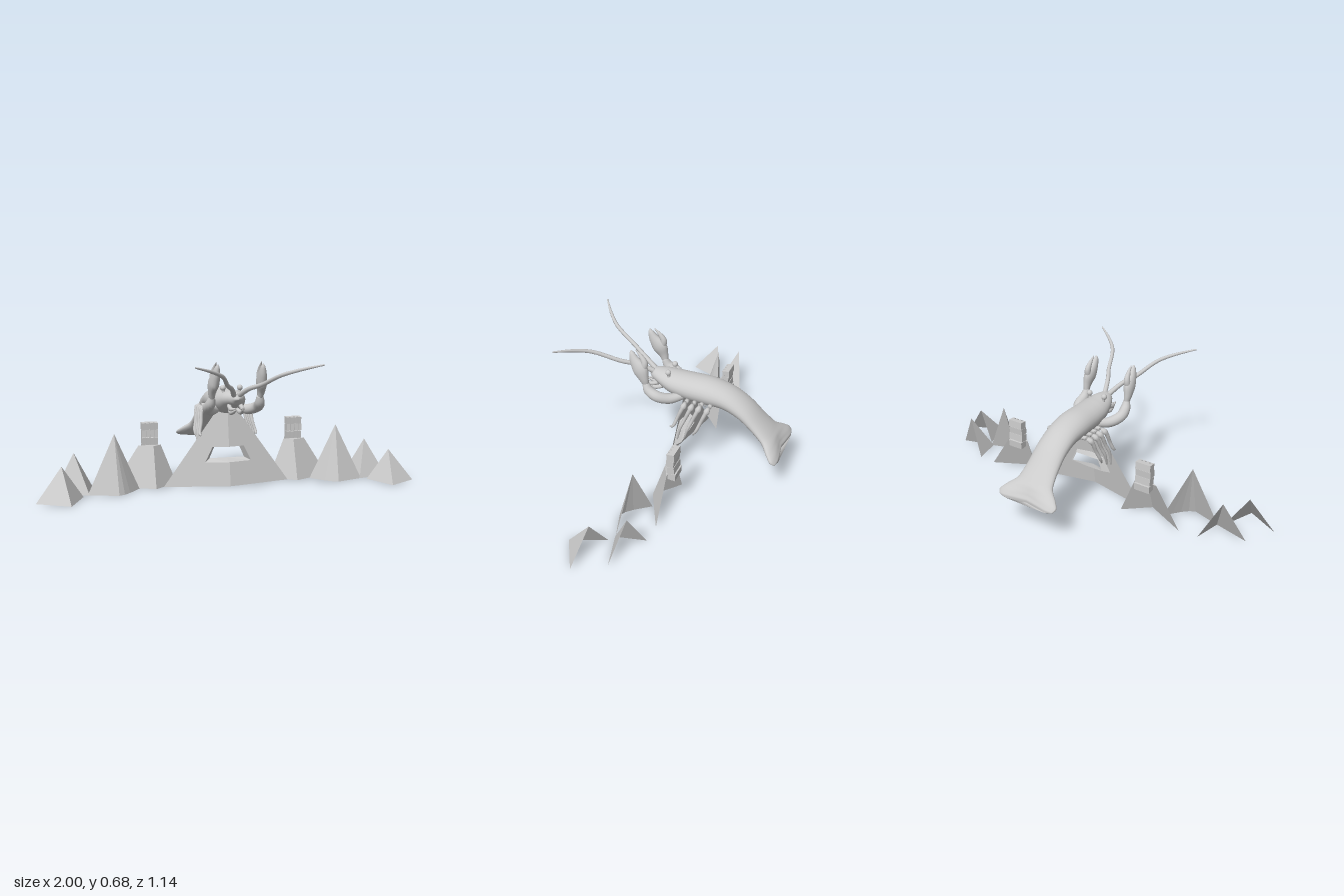
import * as THREE from 'three';

const grey = new THREE.MeshStandardMaterial({ color: 0xcccccc, side: THREE.DoubleSide });
const flat = new THREE.MeshStandardMaterial({ color: 0xcccccc, flatShading: true, side: THREE.DoubleSide });

// Smooth tube through stations [x, y, z, half width, half depth]
function loft(name, stations, rows = 24, sides = 14, adjust) {
  const path = new THREE.CatmullRomCurve3(stations.map(p => new THREE.Vector3(p[0], p[1], p[2])));
  const size = new THREE.CatmullRomCurve3(stations.map(p => new THREE.Vector3(p[3], p[4] ?? p[3], 0)));
  const pos = [], index = [];
  const X = new THREE.Vector3(1, 0, 0);
  for (let i = 0; i <= rows; i++) {
    const t = i / rows, c = path.getPoint(t), r = size.getPoint(t), T = path.getTangent(t);
    const S = X.clone().addScaledVector(T, -T.x).normalize();
    const N = T.clone().cross(S);
    for (let j = 0; j < sides; j++) {
      const a = j / sides * Math.PI * 2;
      const p = c.clone().addScaledVector(S, r.x * Math.cos(a)).addScaledVector(N, r.y * Math.sin(a));
      if (adjust) adjust(p);
      pos.push(p.x, p.y, p.z);
      if (i < rows) {
        const k = i * sides + j, n = i * sides + (j + 1) % sides;
        index.push(k, n, k + sides, n, n + sides, k + sides);
      }
    }
  }
  // End caps
  for (let j = 1; j < sides - 1; j++) {
    const e = rows * sides;
    index.push(0, j + 1, j, e, e + j, e + j + 1);
  }
  const g = new THREE.BufferGeometry();
  g.setAttribute('position', new THREE.Float32BufferAttribute(pos, 3));
  g.setIndex(index);
  g.computeVertexNormals();
  const m = new THREE.Mesh(g, grey);
  m.name = name;
  return m;
}

// Flat faces, each a convex polygon of corner points
function faceted(name, polygons) {
  const pos = [];
  for (const f of polygons)
    for (let i = 1; i < f.length - 1; i++) pos.push(...f[0], ...f[i], ...f[i + 1]);
  const g = new THREE.BufferGeometry();
  g.setAttribute('position', new THREE.Float32BufferAttribute(pos, 3));
  g.computeVertexNormals();
  const m = new THREE.Mesh(g, flat);
  m.name = name;
  return m;
}

// Peak with an open back: triangles from the apex to a run of base points [x, z]
function peak(name, s, apex, base) {
  const a = [s * apex[0], apex[1], apex[2]];
  const b = base.map(([x, z]) => [s * x, 0, z]);
  return faceted(name, b.slice(1).map((p, i) => [a, b[i], p]));
}

function animal() {
  const g = new THREE.Group();
  g.name = 'crustacean';
  // Body, tail and fan, with a shallow notch in the fan's end
  g.add(loft('body', [
    [0, .475, .175, .008, .004], [0, .476, .15, .036, .03], [0, .47, .1, .062, .043],
    [0, .452, .03, .08, .06], [0, .443, -.05, .086, .067], [0, .439, -.15, .089, .069],
    [0, .424, -.25, .085, .058], [0, .38, -.34, .085, .047], [0, .312, -.42, .09, .037],
    [0, .262, -.475, .103, .032], [0, .226, -.515, .15, .028], [0, .204, -.541, .172, .024],
    [0, .189, -.559, .162, .016], [0, .181, -.567, .12, .003]
  ], 64, 28, p => {
    if (p.z < -.52) p.z += .02 * Math.max(0, 1 - Math.abs(p.x) / .12) * Math.min(1, (-.52 - p.z) / .04);
  }));
  for (const s of [1, -1]) {
    const limb = (name, pts, rows, sides) =>
      g.add(loft(name, pts.map(([x, ...r]) => [s * x, ...r]), rows, sides));
    limb('antenna', [[.01, .49, .145, .014], [.045, .535, .23, .012], [.085, .56, .3, .011],
      [.145, .618, .43, .01], [.215, .648, .5, .008], [.303, .674, .565, .004]], 30, 8);
    limb('feeler', [[.02, .415, .1, .01], [.025, .405, .14, .012], [.022, .412, .175, .009],
      [.018, .427, .21, .004]], 12, 8);
    limb('mouthpart', [[.03, .44, .12, .012], [.03, .425, .16, .011], [.015, .43, .19, .004]], 12, 8);
    limb('eyeStalk', [[.04, .48, .055, .009], [.044, .52, .056, .008]], 4, 10);
    const eye = new THREE.Mesh(new THREE.SphereGeometry(.015, 16, 12), grey);
    eye.name = 'eye';
    eye.position.set(s * .045, .523, .057);
    g.add(eye);
    // Claw arm, palm with fixed finger, and movable finger
    limb('clawArm', [[.05, .41, -.03, .02], [.1, .405, .03, .027], [.132, .425, .085, .028],
      [.13, .45, .13, .026], [.125, .49, .15, .016]], 24, 14);
    limb('claw', [[.126, .475, .145, .013, .015], [.128, .515, .157, .02, .027],
      [.124, .56, .177, .027, .042], [.12, .605, .207, .021, .028],
      [.117, .642, .223, .012, .014], [.116, .658, .226, .003, .003]], 24, 14);
    limb('clawFinger', [[.125, .555, .165, .018, .02], [.122, .6, .153, .016, .018],
      [.119, .635, .172, .01, .011], [.117, .666, .202, .002, .002]], 18, 12);
    // Walking legs
    [-.06, -.1, -.14, -.185].forEach((z, i) => {
      const low = [.27, .2, .22, .25][i];
      limb('walkingLeg', [[.06, .40, z, .011], [.11, .405, z - .002, .011], [.132, .385, z + .006, .011],
        [.14, .33, z + .028, .009], [.152, .28, z + .048, .008], [.15, low, z + .066, .004]], 20, 8);
    });
  }
  return g;
}

function centralPeak() {
  const g = new THREE.Group();
  g.name = 'centralPeak';
  const depth = (x, y) => -.03 + .075 * (1 - Math.abs(x) / .342 - y / .473);
  // Two front faces meeting on a ridge, with a tapered opening
  for (const s of [1, -1]) {
    const shape = new THREE.Shape([[0, 0], [.342, 0], [0, .473], [0, .205], [.085, .205], [.125, .125], [0, .125]]
      .map(([x, y]) => new THREE.Vector2(s * x, y)));
    const geo = new THREE.ShapeGeometry(shape).toNonIndexed();
    const p = geo.attributes.position;
    for (let i = 0; i < p.count; i++) p.setZ(i, depth(p.getX(i), p.getY(i)));
    geo.computeVertexNormals();
    const m = new THREE.Mesh(geo, flat);
    m.name = 'peakFace';
    g.add(m);
  }
  // Reveal around the opening
  const outer = [[0, .205], [.085, .205], [.125, .125], [0, .125], [-.125, .125], [-.085, .205]];
  const inner = [[0, .202], [.068, .202], [.095, .14], [0, .14], [-.095, .14], [-.068, .202]];
  g.add(faceted('openingReveal', outer.map((o, i) => {
    const k = (i + 1) % 6, n = outer[k];
    return [[...o, depth(...o)], [...n, depth(...n)], [...inner[k], -.035], [...inner[i], -.035]];
  })));
  return g;
}

function sidePeaks(s) {
  const g = new THREE.Group();
  g.name = s > 0 ? 'leftPeaks' : 'rightPeaks';
  g.add(peak('outerPeak', s, [.87, .168, .108], [[.998, .15], [.835, .245], [.765, .07]]));
  g.add(peak('rearPeak', s, [.8, .202, -.052], [[.912, 0], [.733, .05], [.7, -.1]]));
  g.add(peak('ribbedPeak', s, [.6, .3, .008],
    [[.742, .045], [.59, .095], [.56, .078], [.53, .048], [.5, .01], [.47, -.03]]));
  // Truncated peak
  const base = [[.6, -.105], [.387, .005], [.26, -.105]];
  const low = base.map(([x, z]) => [s * x, 0, z]);
  const high = base.map(([x, z]) => [s * (.387 + .35 * (x - .387)), .213, -.105 + .35 * (z + .105)]);
  g.add(faceted('truncatedPeak', [
    [low[0], low[1], high[1], high[0]], [low[1], low[2], high[2], high[1]], high]));
  // Tower of slightly tilted blocks with a columned front
  const tower = new THREE.Group();
  tower.name = 'tower';
  for (let i = 0; i < 4; i++) {
    const row = new THREE.Group();
    row.name = 'towerBlock';
    const slab = new THREE.Mesh(new THREE.BoxGeometry(.084, .038, .026), flat);
    slab.name = 'towerSlab';
    slab.position.z = -.006;
    row.add(slab);
    for (let c = 0; c < 4; c++) {
      const bar = new THREE.Mesh(new THREE.BoxGeometry(.016, .037, .014), flat);
      bar.name = 'towerColumn';
      bar.position.set(-.034 + c * .0227, 0, .013);
      row.add(bar);
    }
    row.position.set(s * .4, .197 + i * .0387, [-.123, -.117, -.114, -.118][i]);
    row.rotation.x = i % 2 ? .07 : -.07;
    tower.add(row);
  }
  g.add(tower);
  return g;
}

export function createModel() {
  const model = new THREE.Group();
  model.name = 'crustaceanOverPeaks';
  model.add(animal(), centralPeak(), sidePeaks(1), sidePeaks(-1));
  return model;
}
